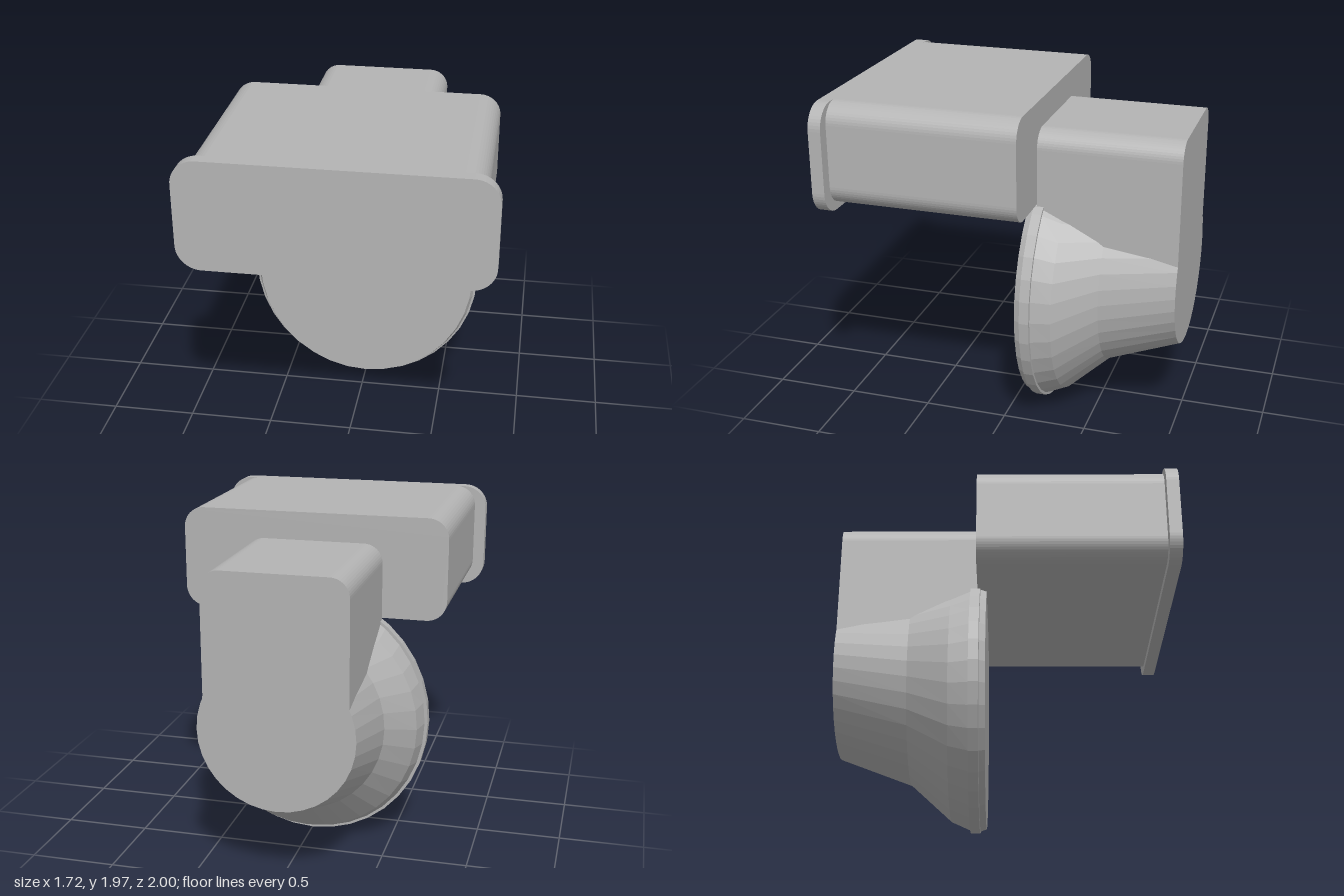
import * as THREE from 'three';

const SIDES = 36;

// Rounded rectangle in x/y, extruded between two z planes
function roundedBlock(name, halfW, y0, y1, r, z0, z1, material) {
  const s = new THREE.Shape();
  s.moveTo(-halfW + r, y0);
  s.lineTo(halfW - r, y0);
  s.absarc(halfW - r, y0 + r, r, -Math.PI / 2, 0);
  s.absarc(halfW - r, y1 - r, r, 0, Math.PI / 2);
  s.absarc(-halfW + r, y1 - r, r, Math.PI / 2, Math.PI);
  s.absarc(-halfW + r, y0 + r, r, Math.PI, Math.PI * 1.5);
  const geo = new THREE.ExtrudeGeometry(s, { depth: z1 - z0, bevelEnabled: false, curveSegments: 6 });
  geo.translate(0, 0, z0);
  const mesh = new THREE.Mesh(geo, material);
  mesh.name = name;
  return mesh;
}

// Capped loft through elliptical sections [z, centreY, radiusX, radiusY], front to back
function ellipseLoft(name, sections, material) {
  const pos = [], idx = [];
  for (const [z, cy, rx, ry] of sections) {
    for (let j = 0; j < SIDES; j++) {
      const a = (j / SIDES) * Math.PI * 2;
      pos.push(rx * Math.cos(a), cy + ry * Math.sin(a), z);
    }
  }
  for (let i = 0; i < sections.length - 1; i++) {
    for (let j = 0; j < SIDES; j++) {
      const a = i * SIDES + j, b = i * SIDES + (j + 1) % SIDES;
      idx.push(a, a + SIDES, b, b, a + SIDES, b + SIDES);
    }
  }
  const last = (sections.length - 1) * SIDES;
  for (let j = 1; j < SIDES - 1; j++) {
    idx.push(0, j, j + 1, last, last + j + 1, last + j);
  }
  const geo = new THREE.BufferGeometry();
  geo.setAttribute('position', new THREE.Float32BufferAttribute(pos, 3));
  geo.setIndex(idx);
  geo.computeVertexNormals();
  const mesh = new THREE.Mesh(geo, material);
  mesh.name = name;
  return mesh;
}

export function createModel() {
  const group = new THREE.Group();
  group.name = 'model';
  const grey = new THREE.MeshStandardMaterial({ color: 0xb4b4b4, flatShading: true });
  grey.name = 'plain grey';

  // Upper housing with its front flange
  group.add(roundedBlock('frontFlange', 0.86, 1.335, 1.975, 0.14, 0.925, 1, grey));
  group.add(roundedBlock('upperHousing', 0.79, 1.375, 1.975, 0.12, -0.175, 0.925, grey));

  // Rear block, its lower end sunk into the cone
  group.add(roundedBlock('rearBlock', 0.41, 0.9, 1.81, 0.11, -1, -0.175, grey));

  // Disc rim with a chamfered front edge
  group.add(ellipseLoft('discRim', [
    [-0.12, 0.757, 0.675, 0.727],
    [-0.155, 0.757, 0.692, 0.74],
    [-0.158, 0.757, 0.705, 0.75],
    [-0.215, 0.757, 0.705, 0.75],
  ], grey));

  // Flared cone, rising as it narrows towards the back
  group.add(ellipseLoft('flaredCone', [
    [-0.2, 0.757, 0.688, 0.738],
    [-0.215, 0.757, 0.686, 0.736],
    [-0.33, 0.757, 0.66, 0.682],
    [-0.57, 0.837, 0.515, 0.542],
    [-1, 0.91, 0.45, 0.45],
  ], grey));

  return group;
}
